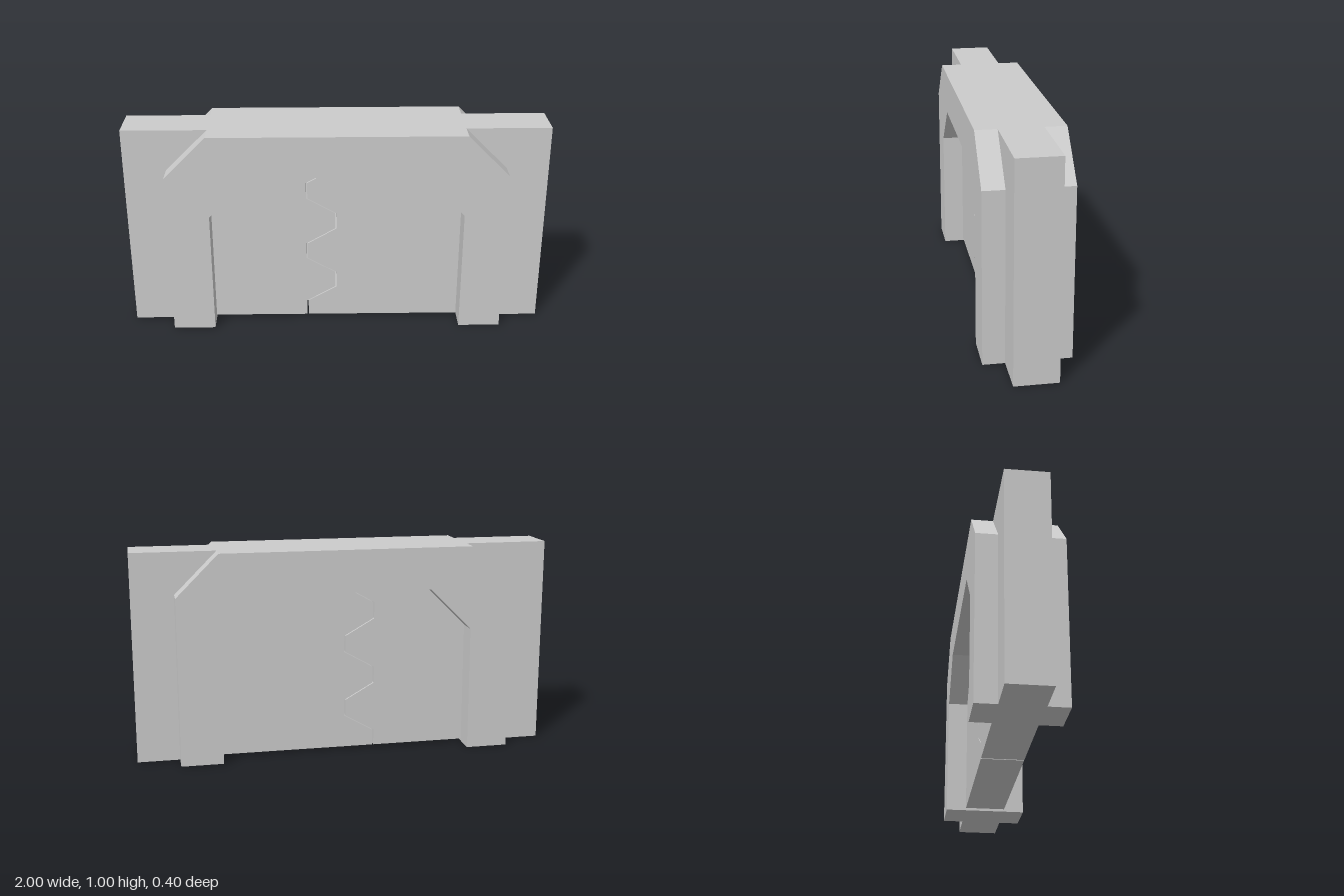
import * as THREE from 'three';

const material = new THREE.MeshStandardMaterial({ color: 0xcccccc, flatShading: true });

// Extrudes an outline in x/y, centred on z = 0.
function slab(name, points, depth) {
  const shape = new THREE.Shape(points.map(([x, y]) => new THREE.Vector2(x, y)));
  const geometry = new THREE.ExtrudeGeometry(shape, { depth, bevelEnabled: false });
  geometry.translate(0, 0, -depth / 2);
  const mesh = new THREE.Mesh(geometry, material);
  mesh.name = name;
  return mesh;
}

const mirror = (points) => points.map(([x, y]) => [-x, y]).reverse();

export function createModel() {
  const group = new THREE.Group();
  group.name = 'blastDoor';

  // Thick chamfered arch around the opening
  const outer = [[0.8, 0], [0.8, 0.8], [0.6, 1]];
  const inner = [[0.6, 0], [0.6, 0.6], [0.4, 0.8]];
  group.add(slab('doorFrame', [
    ...outer, ...mirror(outer),
    ...mirror(mirror(mirror(inner))).reverse(), ...[...inner].reverse(),
  ], 0.4));

  // Thin wall on either side, reaching up to the chamfers
  const wall = [[0.8, 0], [1, 0], [1, 1], [0.6, 1], [0.8, 0.8]];
  group.add(slab('leftWall', wall, 0.2), slab('rightWall', mirror(wall), 0.2));

  // Interlocking tooth line, listed from bottom to top
  const bottom = 0.012;
  const seam = [[-0.14, bottom]];
  for (let i = 0; i < 9; i++) {
    seam.push([Math.floor((i + 1) / 2) % 2 ? 0 : -0.14, 0.09 + i * 0.08]);
  }
  seam.push([-0.016, 0.8]);

  // Two sliding leaves with a narrow gap between their teeth
  const gap = 0.007;
  const leftLeaf = [[0.597, bottom], [0.597, 0.6], [0.4, 0.798], ...[...seam].reverse()];
  const rightLeaf = [
    [-0.6, bottom], ...seam.map(([x, y]) => [x - gap, y]), [-0.4, 0.8], [-0.6, 0.6],
  ];
  group.add(slab('leftDoorLeaf', leftLeaf, 0.2), slab('rightDoorLeaf', rightLeaf, 0.2));

  return group;
}
